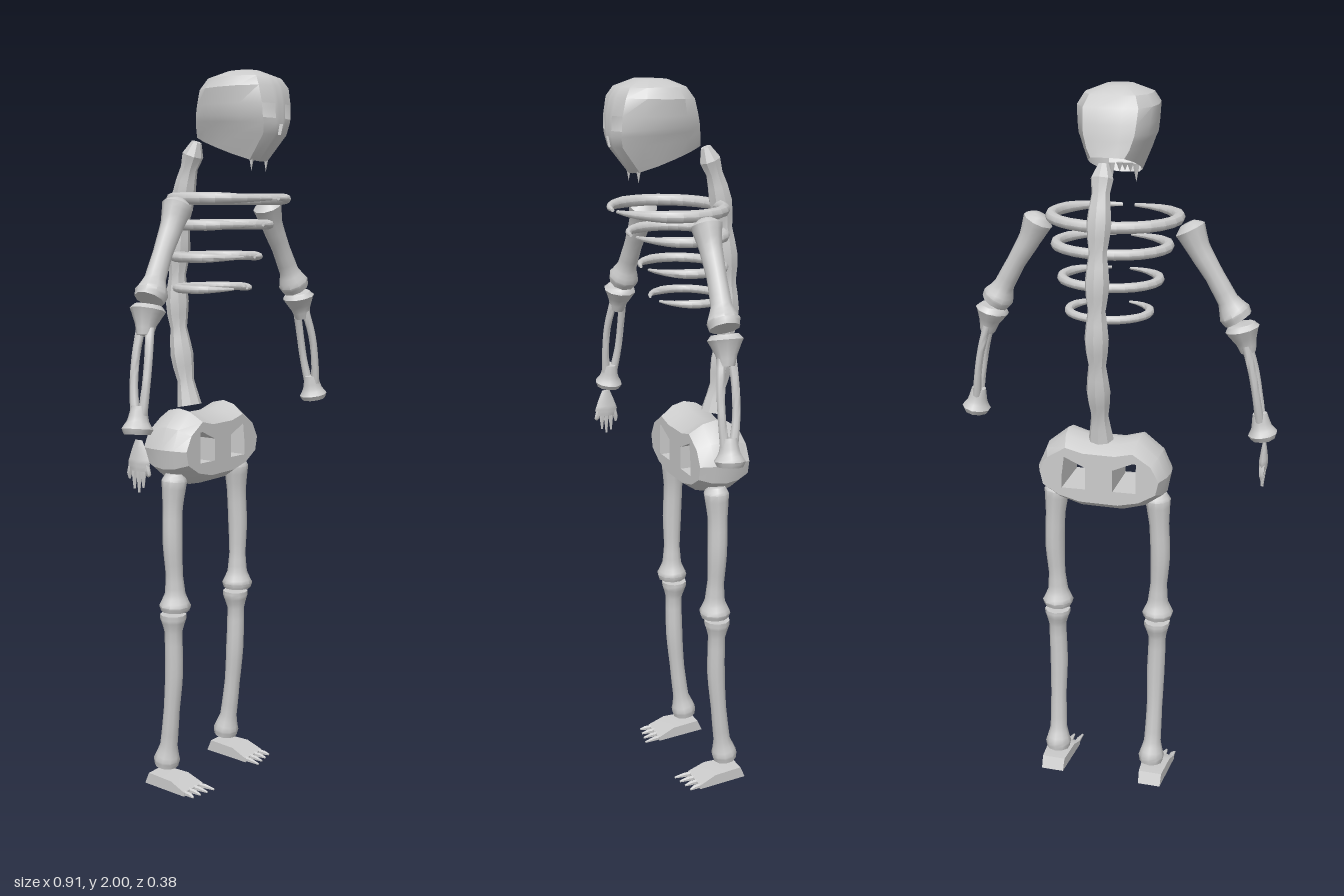
import * as THREE from 'three';
import { toCreasedNormals } from 'three/addons/utils/BufferGeometryUtils.js';

const material = new THREE.MeshStandardMaterial({ color: 0xcccccc, side: THREE.DoubleSide });

function add(parent, name, geometry, crease = 0.8) {
  const mesh = new THREE.Mesh(toCreasedNormals(geometry, crease), material);
  mesh.name = name;
  parent.add(mesh);
  return mesh;
}

// Skin a list of rings; skip(ring, column) leaves a hole
function loft(rings, capStart, capEnd, skip = () => false) {
  const n = rings[0].length, last = rings.length - 1;
  const points = rings.flat(), index = [];
  for (let i = 0; i < last; i++) {
    for (let j = 0; j < n; j++) {
      if (skip(i, j)) continue;
      const a = i * n + j, b = i * n + (j + 1) % n;
      index.push(a, b, b + n, a, b + n, a + n);
    }
  }
  const cap = (row, flip) => {
    const centre = new THREE.Vector3();
    rings[row].forEach(p => centre.addScaledVector(p, 1 / n));
    const c = points.push(centre) - 1;
    for (let j = 0; j < n; j++) {
      const a = row * n + j, b = row * n + (j + 1) % n;
      index.push(...(flip ? [c, b, a] : [c, a, b]));
    }
  };
  if (capStart) cap(0, true);
  if (capEnd) cap(last, false);
  const geometry = new THREE.BufferGeometry().setFromPoints(points);
  geometry.setIndex(index);
  return geometry;
}

// Tube of changing radius through points [x, y, z, r]; side mirrors x
function bone(points, { side = 1, div = 3, sides = 10, ref = [0, 0, 1] } = {}) {
  const curve = new THREE.CatmullRomCurve3(points.map(p => new THREE.Vector3(p[0] * side, p[1], p[2])));
  const up = new THREE.Vector3(...ref), spans = points.length - 1, rings = [];
  for (let i = 0; i <= spans * div; i++) {
    const t = i / (spans * div), k = Math.min(Math.floor(i / div), spans - 1);
    const r = THREE.MathUtils.lerp(points[k][3], points[k + 1][3], i / div - k);
    const centre = curve.getPoint(t), tangent = curve.getTangent(t);
    const b = tangent.clone().cross(up).normalize(), n = b.clone().cross(tangent);
    rings.push(Array.from({ length: sides }, (_, j) => {
      const a = j / sides * Math.PI * 2;
      return centre.clone().addScaledVector(n, Math.cos(a) * r).addScaledVector(b, Math.sin(a) * r);
    }));
  }
  return loft(rings, true, true);
}

function buildSkull(parent) {
  const skull = new THREE.Group();
  skull.name = 'skull';
  parent.add(skull);
  // Half outline from back to front: share of half width, share of depth
  const half = [[0.3, 0], [0.68, 0.03], [0.93, 0.22], [1, 0.45], [0.93, 0.72], [0.65, 0.94], [0.22, 0.99], [0.09, 1]];
  const outline = [...half, ...half.map(([x, t]) => [-x, t]).reverse()];
  // Half width, back z, front z, back y, front y
  const rows = [
    [0.04, 0.03, 0.11, 1.998, 2.0], [0.09, -0.01, 0.16, 1.98, 1.98], [0.108, -0.03, 0.178, 1.95, 1.955],
    [0.104, -0.042, 0.188, 1.91, 1.91], [0.1, -0.048, 0.19, 1.885, 1.872], [0.093, -0.051, 0.19, 1.87, 1.858],
    [0.084, -0.055, 0.184, 1.85, 1.83], [0.066, -0.06, 0.13, 1.83, 1.762],
  ];
  const rings = rows.map(([w, zb, zf, yb, yf]) => outline.map(([x, t]) =>
    new THREE.Vector3(x * w, THREE.MathUtils.lerp(yb, yf, t), THREE.MathUtils.lerp(zb, zf, t))));
  const hole = (i, j) => (i === 3 && (j === 5 || j === 9)) || (i === 5 && j === 7);
  add(skull, 'cranium', loft(rings, true, false, hole), 0.6);
  // Teeth along the upper jaw, the outer pair longer
  for (const [x, h] of [[-0.034, 0.05], [-0.015, 0.025], [0, 0.022], [0.015, 0.025], [0.034, 0.05]]) {
    const tooth = add(skull, 'tooth', new THREE.ConeGeometry(0.01, h, 5));
    tooth.rotation.x = Math.PI;
    tooth.position.set(x, 1.787 - h / 2, Math.abs(x) > 0.03 ? 0.118 : 0.128);
  }
}

function buildSpine(parent) {
  const path = new THREE.CatmullRomCurve3([
    [-0.09, 1.82], [-0.128, 1.71], [-0.155, 1.52], [-0.16, 1.35], [-0.142, 1.21], [-0.118, 1.085],
  ].map(([z, y]) => new THREE.Vector3(0, y, z)));
  const count = 20;
  const points = path.getSpacedPoints(count).map((p, i) =>
    [0, p.y, p.z, i === 0 ? 0.014 : i === count ? 0.035 : [0.033, 0.03, 0.024, 0.029][i % 4]]);
  add(parent, 'spine', bone(points, { div: 1, sides: 8 }), 0.5);
}

function buildRibs(parent) {
  // Height, half width, back z, front z, half of the front gap in radians
  const ribs = [[1.665, 0.172, -0.125, 0.172, 0.1], [1.595, 0.152, -0.128, 0.12, 0.14],
    [1.508, 0.132, -0.13, 0.09, 0.2], [1.422, 0.11, -0.13, 0.063, 0.3]];
  ribs.forEach(([y, w, zb, zf, gap], k) => {
    const points = [], steps = 24, thick = 0.016 - k * 0.0015;
    for (let i = 0; i <= steps; i++) {
      const u = i / steps, a = gap + u * (Math.PI - gap) * 2;
      const r = thick * Math.min(1, 0.3 + 4.5 * Math.min(u, 1 - u));
      points.push([Math.sin(a) * w, y, (zb + zf) / 2 + Math.cos(a) * (zf - zb) / 2, r]);
    }
    add(parent, 'rib', bone(points, { div: 1, sides: 8, ref: [0, 1, 0] }));
  });
}

function buildPelvis(parent) {
  const right = [[0.05, 1.075], [0.105, 1.092], [0.162, 1.045], [0.187, 0.985], [0.177, 0.93], [0.125, 0.89], [0.06, 0.87]];
  const left = right.map(([x, y]) => [-x, y]).reverse();
  const vec = pts => pts.map(p => new THREE.Vector2(...p));
  const shape = new THREE.Shape(vec([...right, ...left]));
  for (const s of [-1, 1]) {
    shape.holes.push(new THREE.Path(vec([[0.038 * s, 0.94], [0.105 * s, 0.94], [0.105 * s, 1.035], [0.038 * s, 1.005]])));
  }
  const geometry = new THREE.ExtrudeGeometry(shape, { depth: 0.15, steps: 4, bevelEnabled: false });
  geometry.translate(0, -0.98, -0.15);
  // Round the rim toward the front and back faces, leaving the holes straight
  const p = geometry.attributes.position;
  for (let i = 0; i < p.count; i++) {
    const x = p.getX(i), y = p.getY(i), e = ((p.getZ(i) + 0.075) / 0.075) ** 2;
    if (Math.hypot(x / 0.19, y / 0.115) > 0.78) p.setXY(i, x * (1 - 0.1 * e), y * (1 - 0.3 * e));
  }
  geometry.translate(0, 0.98, 0);
  add(parent, 'pelvis', geometry, 0.5);
}

function buildArm(parent, side, name) {
  const arm = new THREE.Group();
  arm.name = name;
  parent.add(arm);
  add(arm, 'upperArm', bone([[0.2, 1.66, 0.005, 0.02], [0.208, 1.645, 0.005, 0.042], [0.232, 1.595, 0.005, 0.031],
    [0.275, 1.525, 0.008, 0.026], [0.312, 1.46, 0.012, 0.028], [0.331, 1.425, 0.015, 0.044],
    [0.342, 1.408, 0.016, 0.04]], { side }));
  add(arm, 'elbowEnd', bone([[0.35, 1.395, 0.02, 0.036], [0.353, 1.382, 0.02, 0.047],
    [0.364, 1.345, 0.022, 0.028], [0.371, 1.318, 0.024, 0.021]], { side }));
  // Two thin bones side by side with a gap between
  for (const d of [-1, 1]) {
    add(arm, 'forearmBone', bone([[0.366, 1.338, 0.022 + d * 0.015, 0.012], [0.386, 1.265, 0.027 + d * 0.021, 0.011],
      [0.4, 1.19, 0.03 + d * 0.02, 0.011], [0.41, 1.12, 0.034 + d * 0.012, 0.013]], { side, sides: 8 }));
  }
  add(arm, 'wristEnd', bone([[0.407, 1.142, 0.033, 0.02], [0.413, 1.105, 0.034, 0.028],
    [0.417, 1.084, 0.035, 0.041], [0.419, 1.07, 0.036, 0.034]], { side }));
}

function buildHand(parent, x) {
  const hand = new THREE.Group();
  hand.name = 'rightHand';
  parent.add(hand);
  const palm = bone([[0, 1.057, 0.043, 0.012], [0, 1.03, 0.043, 0.024], [0, 0.998, 0.043, 0.036], [0, 0.978, 0.043, 0.03]], { sides: 8 });
  palm.scale(0.35, 1, 1);
  add(hand, 'palm', palm).position.x = x;
  [[0.074, 0.965], [0.057, 0.935], [0.043, 0.922], [0.028, 0.93], [0.012, 0.955]].forEach(([z, y]) =>
    add(hand, 'finger', bone([[x, 0.998, 0.043 + (z - 0.043) * 0.75, 0.008], [x, 0.97, z, 0.0075], [x, y, z, 0.003]], { sides: 6, div: 2 })));
}

function buildLeg(parent, side, name) {
  const leg = new THREE.Group();
  leg.name = name;
  parent.add(leg);
  add(leg, 'thigh', bone([[0.146, 0.915, -0.06, 0.025], [0.147, 0.895, -0.06, 0.036], [0.152, 0.82, -0.062, 0.028],
    [0.156, 0.72, -0.06, 0.028], [0.152, 0.63, -0.058, 0.024], [0.15, 0.575, -0.057, 0.029],
    [0.15, 0.54, -0.057, 0.045], [0.15, 0.525, -0.057, 0.04]], { side }));
  add(leg, 'shin', bone([[0.15, 0.513, -0.064, 0.037], [0.15, 0.5, -0.064, 0.037], [0.151, 0.46, -0.063, 0.025],
    [0.148, 0.34, -0.064, 0.026], [0.148, 0.23, -0.073, 0.023], [0.146, 0.12, -0.086, 0.025],
    [0.145, 0.075, -0.094, 0.038], [0.145, 0.055, -0.096, 0.034]], { side }));
  // Wedge foot, wider toward the toes
  const profile = [[-0.145, 0], [0.005, 0], [0.005, 0.012], [-0.045, 0.032], [-0.13, 0.034]];
  const foot = new THREE.ExtrudeGeometry(new THREE.Shape(profile.map(q => new THREE.Vector2(...q))), { depth: 2, bevelEnabled: false });
  foot.rotateY(-Math.PI / 2).translate(1, 0, 0);
  const p = foot.attributes.position;
  for (let i = 0; i < p.count; i++) {
    p.setX(i, side * 0.15 + p.getX(i) * (0.033 + (p.getZ(i) + 0.145) * 0.07));
  }
  add(leg, 'foot', foot, 0.4);
  for (let i = 0; i < 4; i++) {
    const x = 0.15 + (i - 1.5) * 0.022, tip = 0.15 + (i - 1.5) * 0.026;
    add(leg, 'toe', bone([[x, 0.007, -0.01, 0.008], [(x + tip) / 2, 0.007, 0.02, 0.007], [tip, 0.004, 0.05 - i * 0.005, 0.003]],
      { side, sides: 6, div: 1, ref: [0, 1, 0] }));
  }
}

export function createModel() {
  const model = new THREE.Group();
  model.name = 'skeleton';
  buildSkull(model);
  buildSpine(model);
  buildRibs(model);
  buildPelvis(model);
  for (const [side, word] of [[1, 'left'], [-1, 'right']]) {
    buildArm(model, side, word + 'Arm');
    buildLeg(model, side, word + 'Leg');
  }
  // Only the right arm carries a hand
  buildHand(model, -0.422);
  return model;
}
